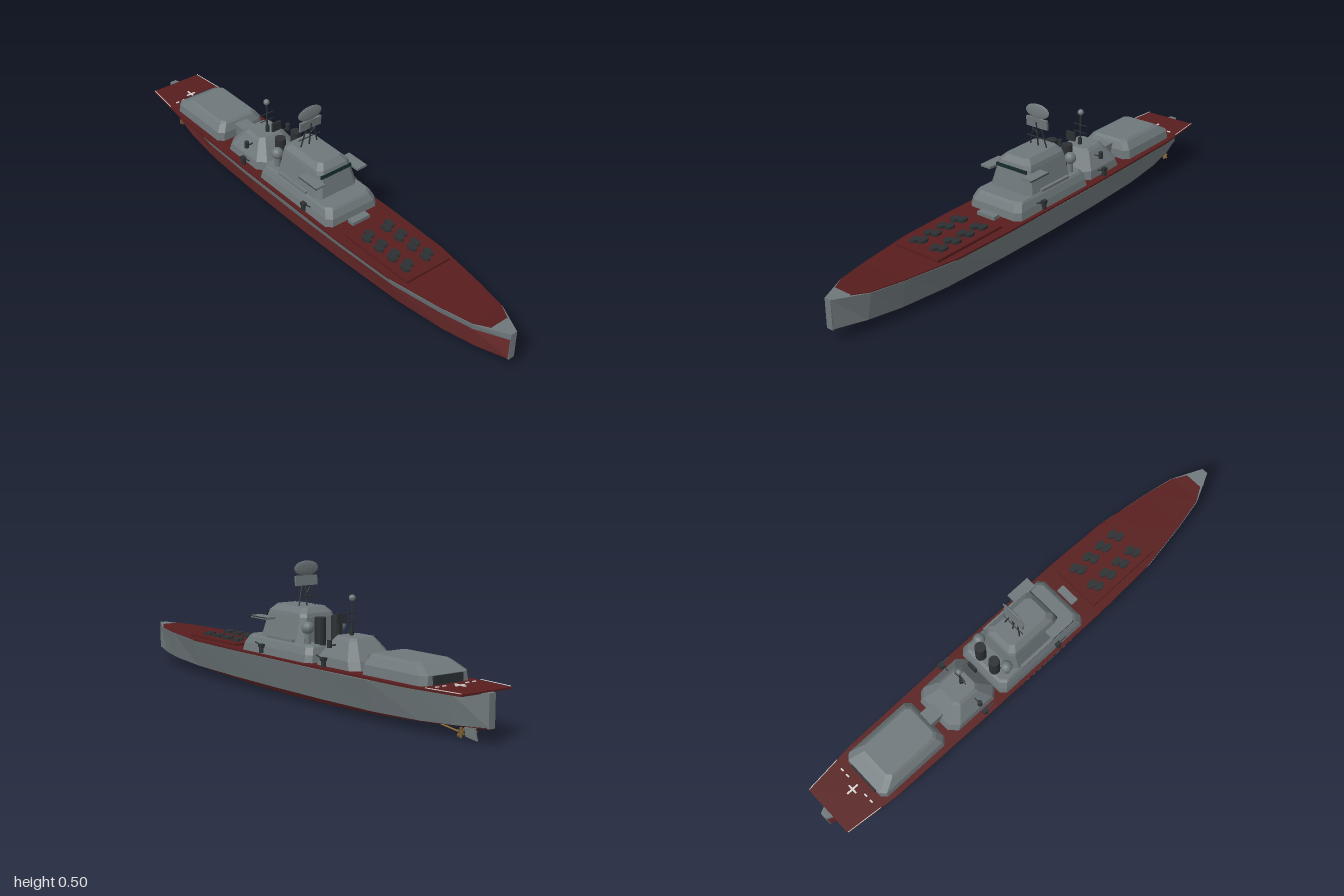
import * as THREE from 'three';

const mat = (name, color) => {
  const m = new THREE.MeshStandardMaterial({ color, side: THREE.DoubleSide, flatShading: true });
  m.name = name;
  return m;
};

export function createModel() {
  const ship = new THREE.Group();
  ship.name = 'warship';
  const grey = mat('hull grey', 0x6e777a);
  const red = mat('hull red', 0x6b2a2b);
  const deckRed = mat('deck red', 0x581d1d);
  const dark = mat('dark metal', 0x2b3032);
  const glass = mat('window glass', 0x14292a);
  const white = mat('marking white', 0xd4d4d0);
  const bronze = mat('bronze', 0x8a6a35);

  const add = (name, geo, m, x = 0, y = 0, z = 0, parent = ship) => {
    const mesh = new THREE.Mesh(geo, m);
    mesh.name = name;
    mesh.position.set(x, y, z);
    parent.add(mesh);
    return mesh;
  };
  const box = (name, m, w, h, d, x, y, z) => add(name, new THREE.BoxGeometry(w, h, d), m, x, y, z);
  const drum = (name, m, r, h, x, y, z) => add(name, new THREE.CylinderGeometry(r, r, h, 14), m, x, y, z);
  const ball = (name, m, r, x, y, z) => add(name, new THREE.SphereGeometry(r, 14, 10), m, x, y, z);
  const rod = (name, m, r, a, b) => {
    const p = new THREE.Vector3(...a), q = new THREE.Vector3(...b);
    const mesh = add(name, new THREE.CylinderGeometry(r, r, p.distanceTo(q), 6), m);
    mesh.position.copy(p).add(q).multiplyScalar(0.5);
    mesh.quaternion.setFromUnitVectors(new THREE.Vector3(0, 1, 0), q.sub(p).normalize());
    return mesh;
  };
  const surface = (name, tris, m) => {
    const g = new THREE.BufferGeometry();
    g.setAttribute('position', new THREE.Float32BufferAttribute(tris.flat(), 3));
    g.computeVertexNormals();
    return add(name, g, m);
  };
  // Ribbon between two lines that both run towards +x
  const strip = (name, A, B, m) => {
    const t = [];
    for (let i = 0; i < A.length - 1; i++) t.push(A[i], B[i], B[i + 1], A[i], B[i + 1], A[i + 1]);
    return surface(name, t, m);
  };
  // Stack of chamfered rectangles: [y, x0, x1, half depth, chamfer]
  const house = (name, sections, m) => {
    const rings = sections.map(([y, x0, x1, h, c]) => [
      [x1, y, h - c], [x1, y, c - h], [x1 - c, y, -h], [x0 + c, y, -h],
      [x0, y, c - h], [x0, y, h - c], [x0 + c, y, h], [x1 - c, y, h]]);
    const t = [];
    for (let i = 0; i < rings.length - 1; i++) for (let j = 0; j < 8; j++) {
      const k = (j + 1) % 8, a = rings[i], b = rings[i + 1];
      t.push(a[j], a[k], b[k], a[j], b[k], b[j]);
    }
    const top = rings[rings.length - 1];
    for (let j = 1; j < 7; j++) t.push(top[0], top[j], top[j + 1]);
    return surface(name, t, m);
  };

  // Double-ended hull: [x, top half width, top y, chine half width, chine y, keel half width, keel y]
  const half = [
    [0, 0.137, 0.154, 0.106, 0.043, 0.035, 0.005],
    [0.27, 0.135, 0.154, 0.103, 0.043, 0.033, 0.008],
    [0.55, 0.127, 0.155, 0.093, 0.044, 0.028, 0.019],
    [0.75, 0.097, 0.158, 0.073, 0.048, 0.022, 0.033],
    [0.88, 0.071, 0.162, 0.05, 0.054, 0.015, 0.045],
    [1, 0.013, 0.168, 0.012, 0.06, 0.01, 0.056]];
  const stations = [...half.slice(1).reverse().map(([x, ...r]) => [-x, ...r]), ...half];
  const line = (f) => stations.map(f);
  const f = 0.22; // paint line fraction below the rail
  const topL = (s) => line((p) => [p[0], p[2], s * p[1]]);
  const paint = (s) => line((p) => [p[0], p[2] + (p[4] - p[2]) * f, s * (p[1] + (p[3] - p[1]) * f)]);
  const chine = (s) => line((p) => [p[0], p[4], s * p[3]]);
  const keel = (s) => line((p) => [p[0], p[6], s * p[5]]);
  strip('leftUpperHull', topL(1), paint(1), grey);
  strip('leftLowerHull', paint(1), chine(1), red);
  strip('leftBottom', chine(1), keel(1), red);
  strip('keel', keel(1), keel(-1), red);
  strip('rightBottom', keel(-1), chine(-1), red);
  strip('rightHull', chine(-1), topL(-1), grey);
  strip('hullTop', topL(-1), topL(1), grey);
  box('stem', grey, 0.008, 0.112, 0.027, 0.996, 0.113, 0);
  box('sternPost', grey, 0.008, 0.112, 0.027, -0.996, 0.113, 0);

  // Main deck with a square overhanging stern
  const deck = [[-0.975, 0.108, 0.172], [-0.75, 0.13, 0.168], [-0.27, 0.136, 0.163], [0.27, 0.136, 0.161],
    [0.53, 0.128, 0.16], [0.75, 0.095, 0.162], [0.88, 0.068, 0.165], [0.935, 0.036, 0.168]];
  const dl = (s, dy) => deck.map(([x, h, y]) => [x, y + dy, s * h]);
  strip('deckTop', dl(-1, 0), dl(1, 0), deckRed);
  strip('deckUnderside', dl(1, -0.007), dl(-1, -0.007), deckRed);
  for (const s of [1, -1]) strip('deckEdge', dl(s, 0), dl(s, -0.007), deckRed);
  box('sternDeckEdge', deckRed, 0.003, 0.007, 0.216, -0.974, 0.1685, 0);

  // Missile hatches on a raised foredeck panel
  box('hatchPanel', deckRed, 0.33, 0.012, 0.2, 0.435, 0.164, 0);
  for (let i = 0; i < 4; i++) for (const z of [-0.047, 0.047]) {
    const x = 0.335 + i * 0.068;
    for (const d of [-0.013, 0.013]) {
      const lid = drum('hatchLid', dark, 0.014, 0.01, x + d * 0.5, 0.175, z + d);
      lid.scale.x = 1.6;
    }
  }
  box('breakwater', grey, 0.03, 0.014, 0.08, 0.23, 0.168, 0);

  // Superstructure
  house('mainHouse', [[0.158, -0.225, 0.205, 0.122, 0.02], [0.19, -0.22, 0.2, 0.116, 0.02],
    [0.215, -0.21, 0.185, 0.106, 0.02], [0.223, -0.2, 0.175, 0.1, 0.02]], grey);
  house('bridge', [[0.22, -0.142, 0.115, 0.098, 0.02], [0.31, -0.135, 0.097, 0.077, 0.018],
    [0.325, -0.13, 0.092, 0.072, 0.018], [0.345, -0.112, 0.072, 0.052, 0.015]], grey);
  house('midHouse', [[0.158, -0.465, -0.225, 0.105, 0.03], [0.195, -0.45, -0.23, 0.1, 0.03],
    [0.255, -0.4, -0.275, 0.062, 0.02], [0.266, -0.39, -0.285, 0.05, 0.015]], grey);
  house('hangar', [[0.158, -0.805, -0.49, 0.11, 0.02], [0.2, -0.802, -0.492, 0.104, 0.02],
    [0.228, -0.755, -0.505, 0.084, 0.018], [0.236, -0.74, -0.515, 0.074, 0.015]], grey);
  box('connectingBlock', grey, 0.07, 0.045, 0.06, -0.475, 0.196, 0);
  box('hangarDoor', dark, 0.006, 0.03, 0.13, -0.805, 0.184, 0);
  for (let i = -3; i <= 3; i++) {
    box('bridgeWindow', glass, 0.006, 0.013, 0.0185, 0.098, 0.306, i * 0.0205).rotation.z = 0.2;
  }

  // Paired fittings on both sides
  for (const s of [1, -1]) {
    box('bridgeWing', grey, 0.1, 0.009, 0.045, 0.08, 0.295, s * 0.098);
    rod('wingAntenna', dark, 0.002, [0.03, 0.297, s * 0.12], [0.135, 0.297, s * 0.12]);
    box('sidePlatform', grey, 0.16, 0.01, 0.03, -0.03, 0.228, s * 0.092);
    ball('radome', grey, 0.023, -0.16, 0.279, s * 0.073);
    drum('radomeStand', grey, 0.012, 0.045, -0.16, 0.24, s * 0.073);
    drum('funnel', dark, 0.021, 0.1, -0.187, 0.268, s * 0.037);
    drum('sideDrum', dark, 0.009, 0.026, -0.32, 0.244, s * 0.1);
    rod('drumBracket', dark, 0.003, [-0.32, 0.238, s * 0.06], [-0.32, 0.238, s * 0.1]);
    for (const x of [-0.315, 0.06]) {
      drum('gunMount', dark, 0.009, 0.026, x, 0.178, s * 0.122);
      box('gunHousing', dark, 0.022, 0.012, 0.016, x, 0.192, s * 0.122);
      rod('gunBarrel', dark, 0.0025, [x, 0.192, s * 0.122], [x + 0.04, 0.201, s * 0.122]);
    }
  }

  // Radar mast
  for (const s of [1, -1]) {
    rod('mastLeg', dark, 0.0028, [-0.06, 0.343, s * 0.038], [-0.052, 0.42, s * 0.019]);
    rod('mastBrace', dark, 0.002, [-0.055, 0.39, 0], [-0.05, 0.416, s * 0.022]);
  }
  rod('mastPole', dark, 0.003, [-0.058, 0.343, 0], [-0.046, 0.44, 0]);
  rod('mastCrossbar', dark, 0.002, [-0.056, 0.378, -0.051], [-0.056, 0.378, 0.051]);
  box('radarPanel', grey, 0.009, 0.037, 0.097, -0.052, 0.437, 0).rotation.z = -0.08;
  const dish = ball('radarDish', grey, 1, -0.053, 0.482, 0);
  dish.scale.set(0.006, 0.028, 0.055);
  dish.rotation.z = 0.08;

  // Aft mast and small radar plate
  drum('aftMastBase', dark, 0.008, 0.03, -0.318, 0.277, 0);
  rod('aftMast', dark, 0.0035, [-0.32, 0.26, 0], [-0.32, 0.395, 0]);
  ball('aftMastBall', grey, 0.012, -0.32, 0.397, 0);
  for (const y of [0.315, 0.345]) rod('aftMastCrossbar', dark, 0.002, [-0.32, y, -0.03], [-0.32, y, 0.03]);
  box('smallRadar', dark, 0.009, 0.036, 0.04, -0.26, 0.318, 0);

  // Landing deck markings
  const mark = (w, d, x, z) => box('deckMarking', white, w, 0.003, d, x, 0.1715, z);
  mark(0.05, 0.007, -0.86, 0);
  mark(0.007, 0.04, -0.86, 0);
  for (const z of [-0.08, -0.05, 0.05, 0.08]) mark(0.006, 0.014, -0.84, z);
  for (const s of [1, -1]) {
    rod('sternRail', white, 0.0015, [-0.973, 0.174, s * 0.107], [-0.83, 0.172, s * 0.121]);
  }

  // Rudder and propellers
  const blade = new THREE.Shape([[-0.94, 0.006], [-0.89, 0.012], [-0.88, 0.055], [-0.925, 0.055]]
    .map((p) => new THREE.Vector2(...p)));
  add('rudder', new THREE.ExtrudeGeometry(blade, { depth: 0.006, bevelEnabled: false }), grey, 0, 0, -0.003);
  for (const s of [1, -1]) {
    rod('propellerShaft', bronze, 0.003, [-0.8, 0.042, s * 0.028], [-0.9, 0.03, s * 0.028]);
    for (let i = 0; i < 3; i++) {
      const b = box('propellerBlade', bronze, 0.003, 0.034, 0.008, -0.895, 0.03, s * 0.028);
      b.rotation.x = i * Math.PI / 3;
    }
  }
  return ship;
}
